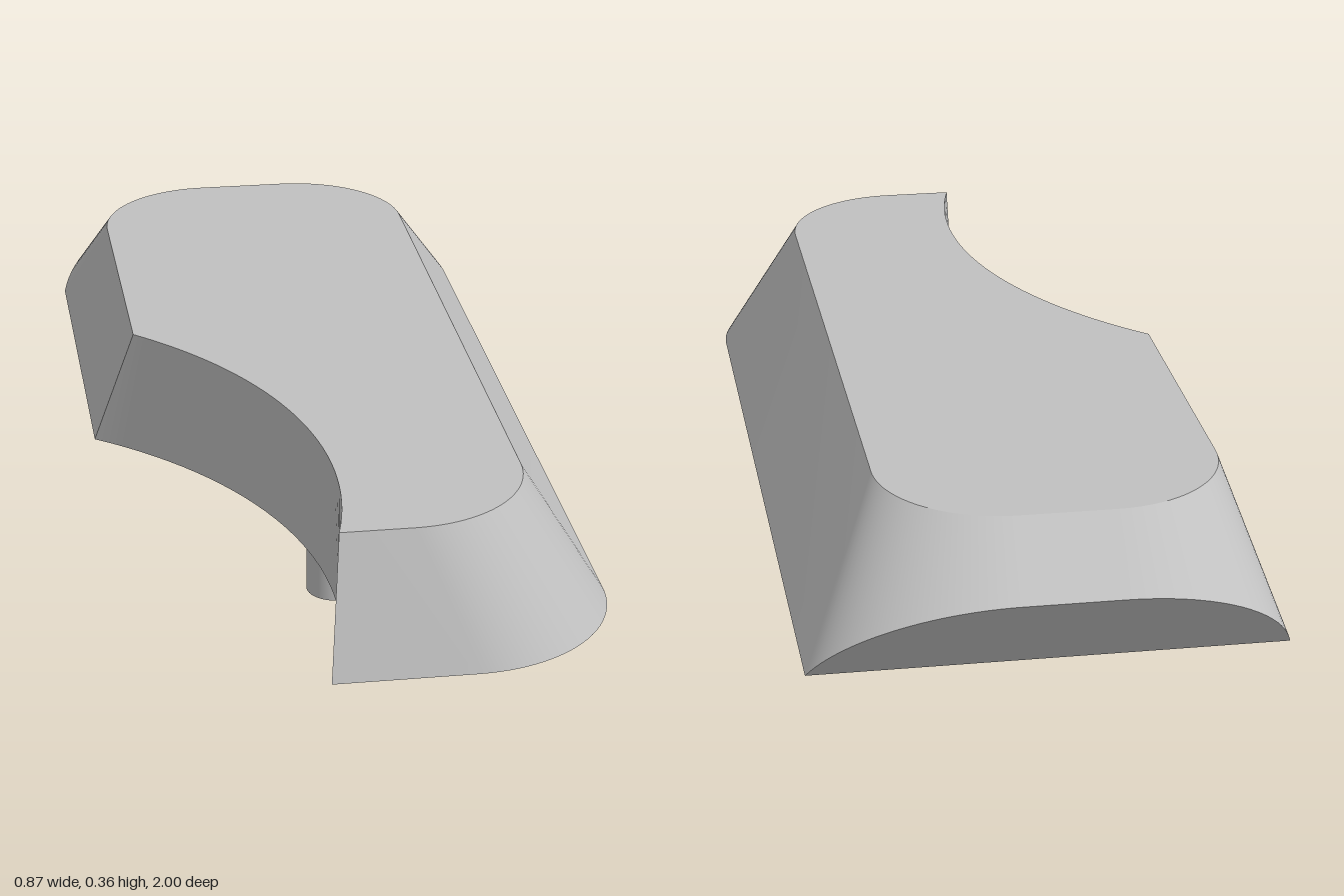
import * as THREE from 'three';
import { toCreasedNormals } from 'three/addons/utils/BufferGeometryUtils.js';

const Y0 = 0.102, Y1 = 0.356;                 // underside and top of the body
const CUT = { x: -1.02, z: 0.68, r: 0.96 };   // round side cutout

// Closed outline at one height: side cutout, two back corners, front corner
function outline({ y, left, right, front, back, rBack, rFront }) {
  const pts = [];
  const arc = (cx, cz, r, a0, a1, n) => {
    for (let i = 0; i <= n; i++) {
      const a = a0 + (a1 - a0) * i / n;
      pts.push(new THREE.Vector3(cx + r * Math.cos(a), y, cz + r * Math.sin(a)));
    }
  };
  arc(CUT.x, CUT.z, CUT.r, Math.asin((front - CUT.z) / CUT.r), -Math.acos((left - CUT.x) / CUT.r), 32);
  arc(left + rBack, back + rBack, rBack, Math.PI, Math.PI * 1.5, 24);
  arc(right - rBack, back + rBack, rBack, Math.PI * 1.5, Math.PI * 2, 24);
  arc(right - rFront, front - rFront, rFront, 0, Math.PI / 2, 24);
  return pts;
}

function geometryFrom(points) {
  return new THREE.BufferGeometry().setFromPoints(points);
}

// Flat face filling a loop, turned to face the given direction
function cap(loop, flat, facing) {
  const out = [];
  for (const tri of THREE.ShapeUtils.triangulateShape(loop.map(flat), [])) {
    const [a, b, c] = tri.map(i => loop[i]);
    const n = b.clone().sub(a).cross(c.clone().sub(a));
    out.push(...(n.dot(facing) > 0 ? [a, b, c] : [a, c, b]));
  }
  const g = geometryFrom(out);
  g.computeVertexNormals();
  return g;
}

export function createModel() {
  const group = new THREE.Group();
  const grey = new THREE.MeshStandardMaterial({ color: 0xc0c0c0 });
  grey.name = 'light grey';
  const add = (name, geometry) => {
    const mesh = new THREE.Mesh(geometry, grey);
    mesh.name = name;
    group.add(mesh);
    return mesh;
  };

  const base = outline({ y: Y0, left: -0.438, right: 0.436, front: 1, back: -1.248, rBack: 0.348, rFront: 0.29 });
  const top = outline({ y: Y1, left: -0.36, right: 0.279, front: 0.92, back: -0.84, rBack: 0.23, rFront: 0.235 });

  // Trim the lower back along a slanted plane
  const side = p => p.z + 0.9 + 0.65 * (p.y - Y0);
  const low = base.map((p, i) => {
    const f = side(p);
    return f < 0 ? p.clone().lerp(top[i], f / (f - side(top[i]))) : p;
  });

  // Sloping sides
  const walls = [];
  low.forEach((b, i) => {
    const j = (i + 1) % low.length;
    walls.push(b, top[i], top[j], b, top[j], low[j]);
  });
  add('bodySides', toCreasedNormals(geometryFrom(walls), 0.5));

  // Flat faces
  const plan = p => new THREE.Vector2(p.x, p.z);
  add('bodyTop', cap(top, plan, new THREE.Vector3(0, 1, 0)));
  add('bodyUnderside', cap(low.filter((p, i) => side(base[i]) > -1e-6), plan, new THREE.Vector3(0, -1, 0)));
  add('backUndercut', cap(low.filter(p => Math.abs(side(p)) < 1e-6),
    p => new THREE.Vector2(p.x, p.y), new THREE.Vector3(0, 0, -1)));

  // Locating pegs
  for (const [name, z] of [['frontPeg', 0.44], ['backPeg', -0.44]]) {
    add(name, new THREE.CylinderGeometry(0.057, 0.057, Y0, 40)).position.set(-0.021, Y0 / 2, z);
  }
  return group;
}
